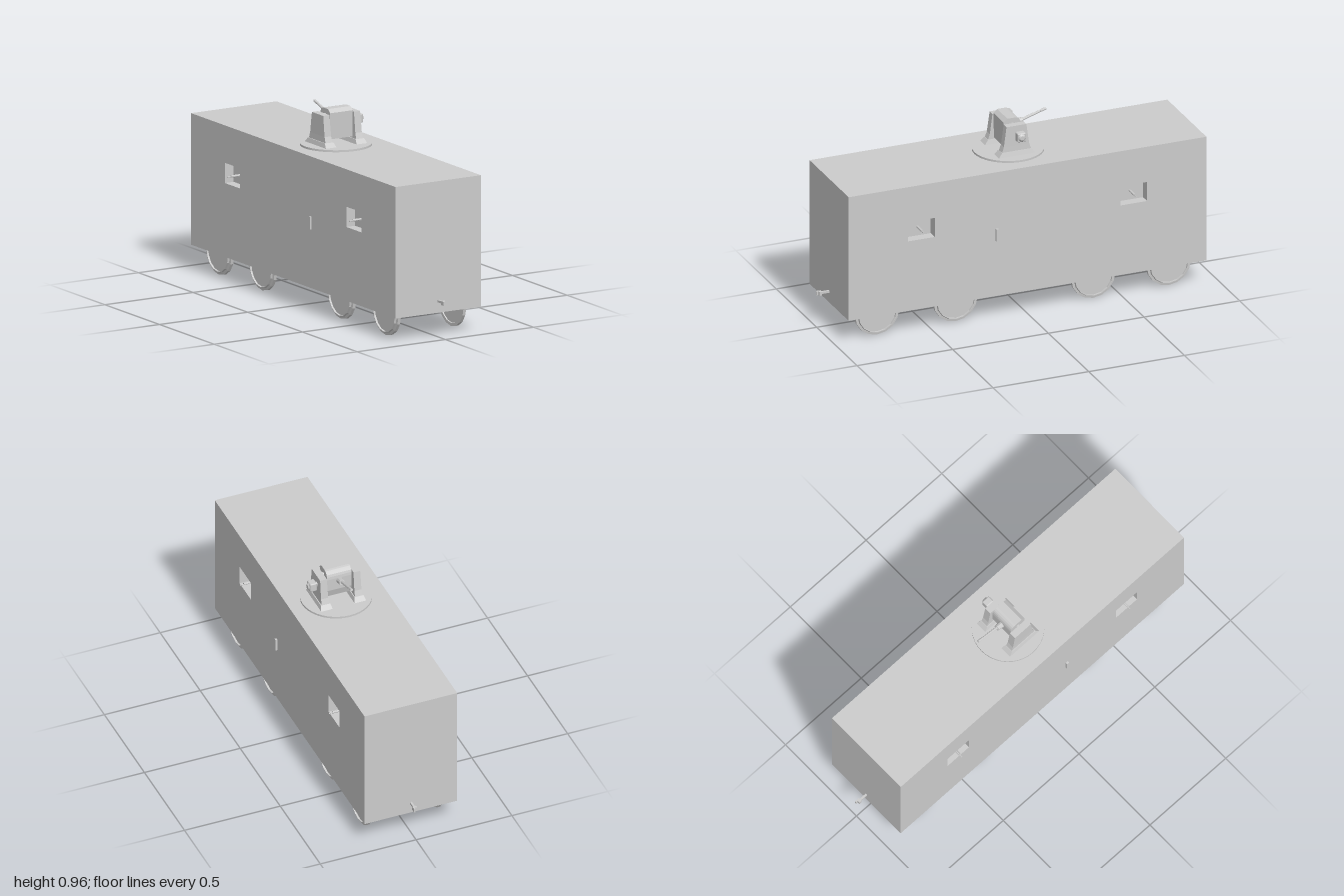
import * as THREE from 'three';
import { RoundedBoxGeometry } from 'three/addons/geometries/RoundedBoxGeometry.js';

const mat = new THREE.MeshStandardMaterial({ color: 0xcccccc });
const flat = new THREE.MeshStandardMaterial({ color: 0xcccccc, flatShading: true });

function add(parent, name, geometry, x = 0, y = 0, z = 0, material = flat) {
  const mesh = new THREE.Mesh(geometry, material);
  mesh.name = name;
  mesh.position.set(x, y, z);
  parent.add(mesh);
  return mesh;
}

const box = (w, h, d) => new THREE.BoxGeometry(w, h, d);

// Cylinder lying along the x axis, r1 at its +x end
const drum = (r0, r1, w, n = 12) => new THREE.CylinderGeometry(r0, r1, w, n).rotateZ(Math.PI / 2);

// Cylinder running between two points
function rod(a, b, r0, r1 = r0, n = 8) {
  const from = new THREE.Vector3(...a), dir = new THREE.Vector3(...b).sub(from);
  const g = new THREE.CylinderGeometry(r1, r0, dir.length(), n);
  g.applyQuaternion(new THREE.Quaternion().setFromUnitVectors(new THREE.Vector3(0, 1, 0), dir.clone().normalize()));
  const mid = from.addScaledVector(dir, 0.5);
  return g.translate(mid.x, mid.y, mid.z);
}

function rect(path, x0, y0, x1, y1) {
  path.moveTo(x0, y0);
  path.lineTo(x1, y0);
  path.lineTo(x1, y1);
  path.lineTo(x0, y1);
  path.closePath();
  return path;
}

// Box wagon: a core with thick side walls pierced by gun ports
function buildBody() {
  const body = new THREE.Group();
  body.name = 'wagonBody';
  add(body, 'bodyCore', box(0.384, 0.65, 1.87), 0, 0.445, 0);

  const side = rect(new THREE.Shape(), -0.935, 0.12, 0.935, 0.77);
  for (const z of [0.555, -0.555]) {
    side.holes.push(rect(new THREE.Path(), z - 0.07, 0.485, z + 0.07, 0.585));
  }
  const wall = new THREE.ExtrudeGeometry(side, { depth: 0.05, bevelEnabled: false });
  wall.rotateY(Math.PI / 2);

  for (const s of [1, -1]) {
    add(body, 'sideWall', wall, s > 0 ? 0.192 : -0.242);
    for (const z of [0.555, -0.555]) {
      add(body, 'portGunSleeve', rod([s * 0.19, 0.532, z], [s * 0.25, 0.532, z], 0.006));
      add(body, 'portGunBarrel', rod([s * 0.25, 0.53, z], [s * 0.269, 0.53, z], 0.003));
    }
    add(body, 'doorHandle', box(0.02, 0.063, 0.014), s * 0.242, 0.442, 0.16);
  }
  return body;
}

// Flanged wheel, sunken on both faces
function buildWheel(side, z) {
  const pts = [[0, -0.006], [0.1, -0.006], [0.1, -0.013], [0.115, -0.013], [0.115, 0.002], [0.103, 0.004],
    [0.1, 0.013], [0.097, 0.013], [0.097, 0.003], [0, 0.003]].map(p => new THREE.Vector2(...p));
  const g = new THREE.LatheGeometry(pts, 16).rotateZ(-side * Math.PI / 2);
  const wheel = new THREE.Mesh(g, flat);
  wheel.name = 'wheel';
  wheel.position.set(side * 0.19, 0.115, z);
  return wheel;
}

function buildCoupler(dir) {
  const coupler = new THREE.Group();
  coupler.name = 'coupler';
  add(coupler, 'couplerRod', box(0.01, 0.011, 0.055), 0, 0.178, dir * 0.955);
  add(coupler, 'couplerHead', box(0.02, 0.02, 0.014), 0, 0.177, dir * 0.983);
  add(coupler, 'couplerHook', box(0.008, 0.02, 0.012), -dir * 0.006, 0.177, dir * 0.994);
  return coupler;
}

function buildTurret() {
  const turret = new THREE.Group();
  turret.name = 'turret';
  add(turret, 'turretRing', new THREE.CylinderGeometry(0.175, 0.175, 0.014, 40), 0, 0.773, 0, mat);

  // Tapered cheeks on a flared foot: [height, half depth, half width]
  const levels = [[0.78, 0.096, 0.03], [0.802, 0.078, 0.024], [0.802, 0.076, 0.0195], [0.83, 0.066, 0.0185], [0.932, 0.052, 0.0175]];
  for (const s of [1, -1]) {
    const cheek = new THREE.BoxGeometry(1, 1, 1, 1, levels.length - 1, 1);
    const p = cheek.attributes.position;
    for (let i = 0; i < p.count; i++) {
      const [y, hz, hx] = levels[Math.round((p.getY(i) + 0.5) * (levels.length - 1))];
      p.setXYZ(i, Math.sign(p.getX(i)) * hx, y, Math.sign(p.getZ(i)) * hz);
    }
    cheek.computeVertexNormals();
    add(turret, 'turretCheek', cheek, s * 0.087);
    add(turret, 'pivotPin', drum(0.011, 0.011, 0.02), s * 0.066, 0.922, 0.005);
  }

  // Gun housing with a rounded crown, flat to the front
  const profile = new THREE.Shape();
  profile.moveTo(-0.046, 0.81);
  profile.lineTo(0.03, 0.81);
  profile.lineTo(0.042, 0.85);
  profile.lineTo(0.042, 0.915);
  profile.quadraticCurveTo(0.04, 0.955, 0.01, 0.957);
  profile.lineTo(-0.03, 0.957);
  profile.lineTo(-0.05, 0.94);
  profile.closePath();
  const housing = new THREE.ExtrudeGeometry(profile, { depth: 0.128, bevelEnabled: false, curveSegments: 5 });
  housing.rotateY(Math.PI / 2);
  add(turret, 'gunHousing', housing, -0.064);

  // Barrel rising towards the back
  add(turret, 'barrelCollar', rod([0, 0.898, -0.03], [0, 0.909, -0.075], 0.018, 0.014, 10));
  add(turret, 'gunBarrel', rod([0, 0.907, -0.06], [0, 0.943, -0.18], 0.008, 0.006));
  add(turret, 'muzzle', rod([0, 0.94, -0.168], [0, 0.948, -0.197], 0.007));

  // Sighting box on the left cheek
  add(turret, 'sightArm', drum(0.012, 0.012, 0.03), 0.108, 0.884, -0.01);
  add(turret, 'sightBox', new RoundedBoxGeometry(0.036, 0.046, 0.044, 2, 0.006), 0.13, 0.883, -0.011, mat);
  add(turret, 'sightLens', drum(0.02, 0.012, 0.008), 0.151, 0.883, -0.011);
  return turret;
}

export function createModel() {
  const model = new THREE.Group();
  model.name = 'armouredWagon';
  model.add(buildBody(), buildTurret(), buildCoupler(1), buildCoupler(-1));
  for (const side of [1, -1]) {
    for (const z of [0.765, 0.355, -0.365, -0.76]) model.add(buildWheel(side, z));
  }
  return model;
}
